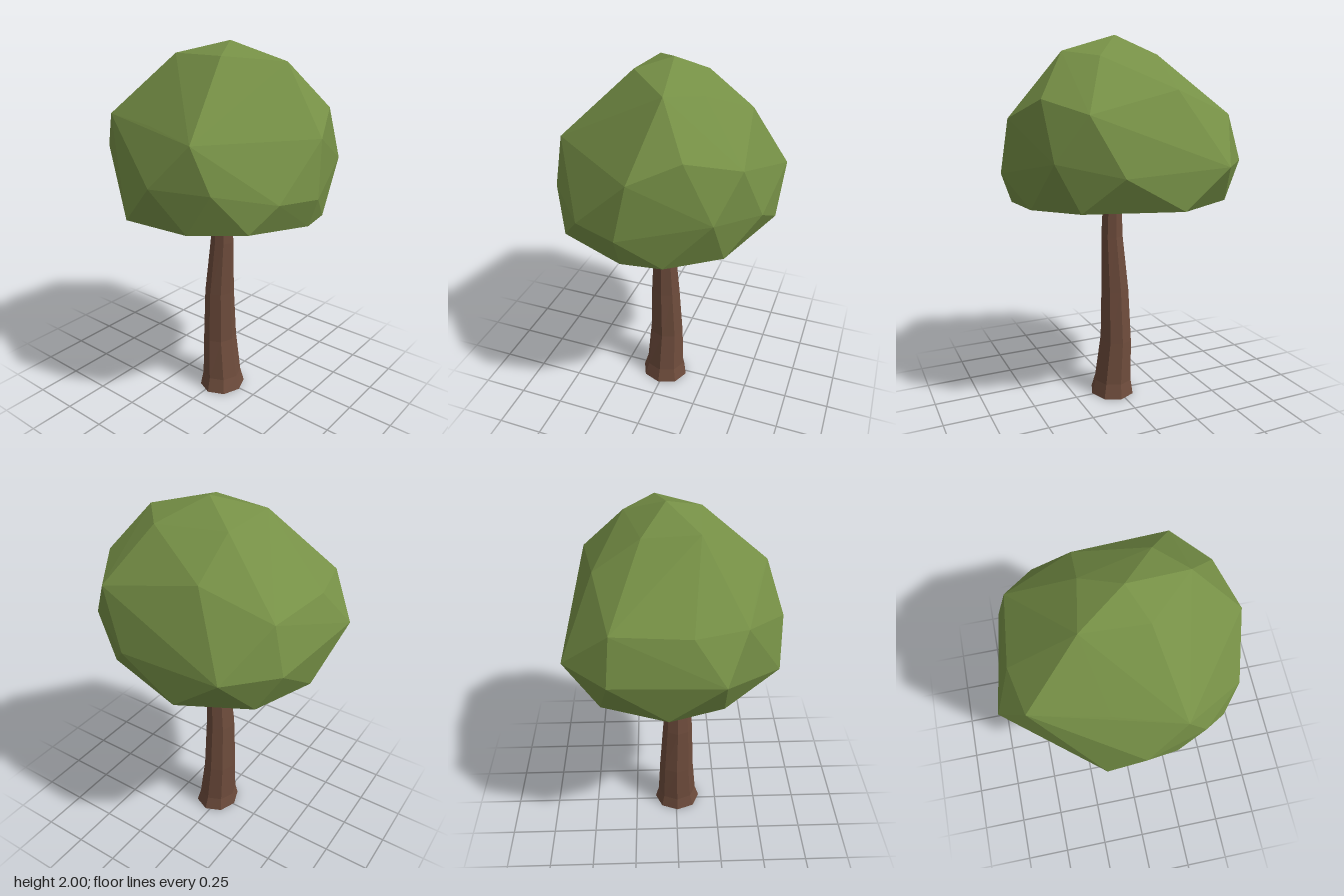
import * as THREE from 'three';
import { ConvexGeometry } from 'three/addons/geometries/ConvexGeometry.js';

// Trunk rings: height, centre x, centre z, half width x, half width z
const RINGS = [
  [0, 0.025, 0.008, 0.125, 0.137],
  [0.08, 0.02, 0.006, 0.108, 0.115],
  [0.32, 0.003, 0.003, 0.09, 0.1],
  [0.62, 0.005, 0.01, 0.08, 0.085],
  [0.93, 0.022, 0.01, 0.064, 0.062],
  [1.18, 0.02, 0.008, 0.052, 0.052],
  [1.3, 0.02, 0.008, 0.045, 0.045],
];

// Corners of the faceted crown, by level
const CROWN = [
  // top
  [0.03, 2, -0.045], [0.34, 1.915, -0.1], [0.11, 1.945, 0.13],
  [-0.2, 1.935, 0.11], [-0.155, 1.9, -0.165], [0.2, 1.89, -0.255],
  // shoulder
  [0.5, 1.69, -0.25], [0.6, 1.59, -0.02], [0.22, 1.595, 0.49], [-0.115, 1.62, 0.395],
  [-0.49, 1.62, 0.31], [-0.54, 1.605, 0.065], [-0.5, 1.6, -0.315],
  [-0.15, 1.73, -0.4], [0.35, 1.625, -0.485],
  // widest belt
  [0.63, 1.31, 0.035], [0.56, 1.325, 0.26], [0.33, 1.375, 0.475], [0.02, 1.37, 0.565],
  [-0.285, 1.375, 0.44], [-0.635, 1.405, 0.21], [-0.565, 1.36, -0.335],
  [-0.36, 1.36, -0.56], [0.2, 1.335, -0.555], [0.49, 1.4, -0.395],
  // underside rim
  [0.58, 1.16, 0.03], [0.47, 1.19, 0.37], [0.2, 1.16, 0.5], [-0.17, 1.16, 0.535],
  [-0.48, 1.16, 0.22], [-0.57, 1.16, -0.05], [-0.45, 1.16, -0.38],
  [-0.11, 1.16, -0.565], [0.37, 1.16, -0.42], [0.54, 1.15, -0.17],
];

function trunkGeometry() {
  const geometry = new THREE.CylinderGeometry(1, 1, 1, 8, RINGS.length - 1);
  const p = geometry.attributes.position;
  for (let i = 0; i < p.count; i++) {
    const ring = Math.round((p.getY(i) + 0.5) * (RINGS.length - 1));
    const [y, cx, cz, rx, rz] = RINGS[ring];
    p.setXYZ(i, cx + p.getX(i) * rx, y, cz + p.getZ(i) * rz);
  }
  geometry.computeVertexNormals();
  return geometry;
}

export function createModel() {
  const tree = new THREE.Group();
  tree.name = 'tree';
  const add = (name, geometry, color) => {
    const mesh = new THREE.Mesh(geometry, new THREE.MeshStandardMaterial({ color, flatShading: true }));
    mesh.name = name;
    tree.add(mesh);
  };
  add('trunk', trunkGeometry(), 0x6e4c3c);
  add('crown', new ConvexGeometry(CROWN.map((c) => new THREE.Vector3(...c))), 0x769046);
  return tree;
}
